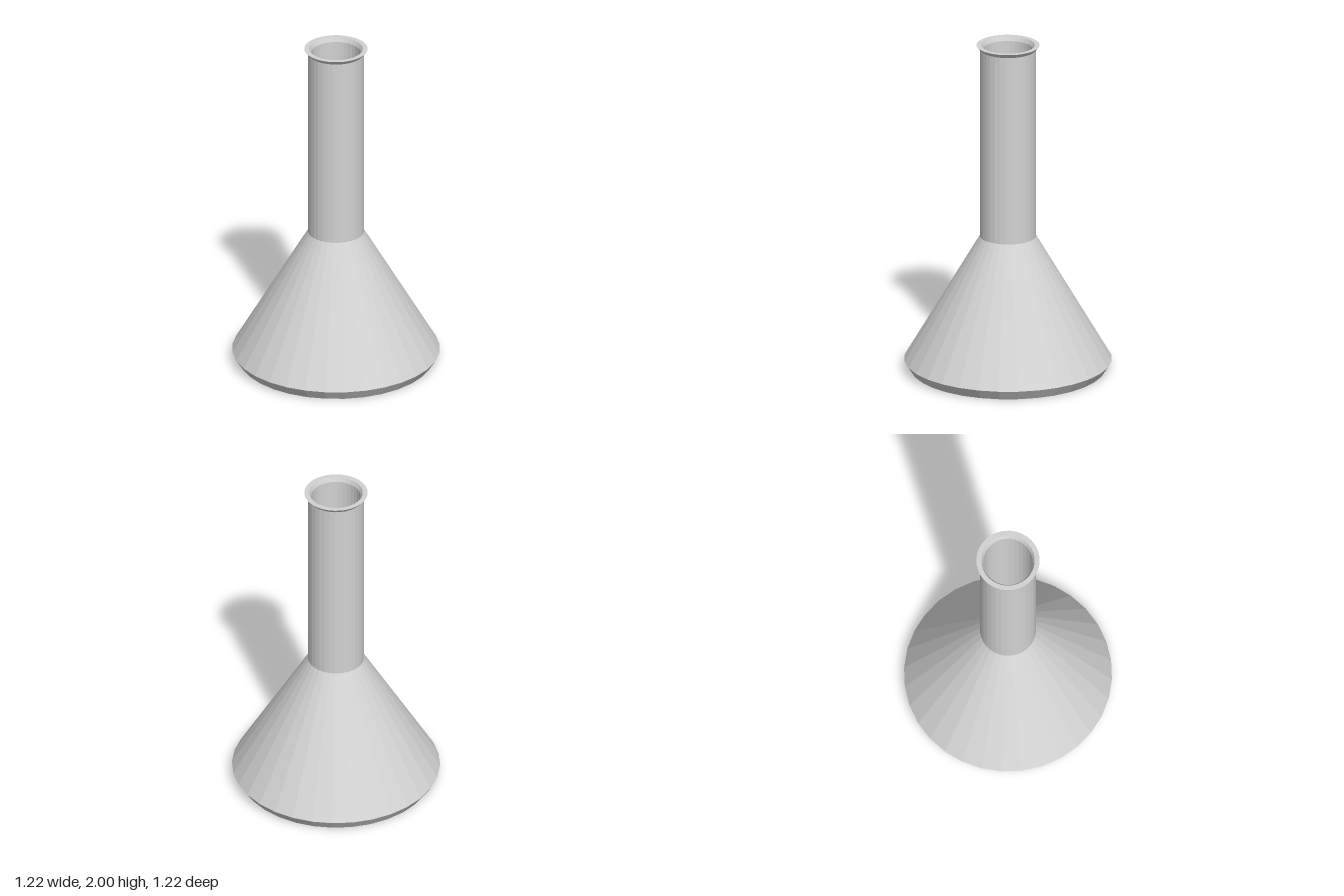
import * as THREE from 'three';

const SIDES = 32;

// Faceted solid of revolution from [radius, height] pairs
function turned(name, profile, material) {
  const points = profile.map(([r, y]) => new THREE.Vector2(r, y));
  const mesh = new THREE.Mesh(new THREE.LatheGeometry(points, SIDES), material);
  mesh.name = name;
  return mesh;
}

export function createModel() {
  const glass = new THREE.MeshStandardMaterial({ color: 0xd2d2d2, flatShading: true });
  glass.name = 'pale grey glass';
  const blue = new THREE.MeshStandardMaterial({ color: 0x63d0e0, flatShading: true });
  blue.name = 'turquoise liquid';

  const flask = new THREE.Group();
  flask.name = 'flask';

  // Base, bevelled foot, cone and neck
  flask.add(turned('outerWall', [
    [0, 0], [0.57, 0], [0.61, 0.06], [0.165, 0.82], [0.165, 1.975],
  ], glass));

  // Flared lip with a flat top and bevelled mouth
  flask.add(turned('lip', [
    [0.165, 1.975], [0.186, 2], [0.157, 2], [0.145, 1.975],
  ], glass));

  // Inside of the neck and cone
  flask.add(turned('innerWall', [
    [0.145, 1.975], [0.145, 0.815], [0.588, 0.065], [0.555, 0.02], [0, 0.02],
  ], glass));

  // Liquid filling the lower cone
  flask.add(turned('liquid', [
    [0, 0.025], [0.55, 0.025], [0.58, 0.067], [0.35, 0.45], [0, 0.45],
  ], blue));

  return flask;
}
